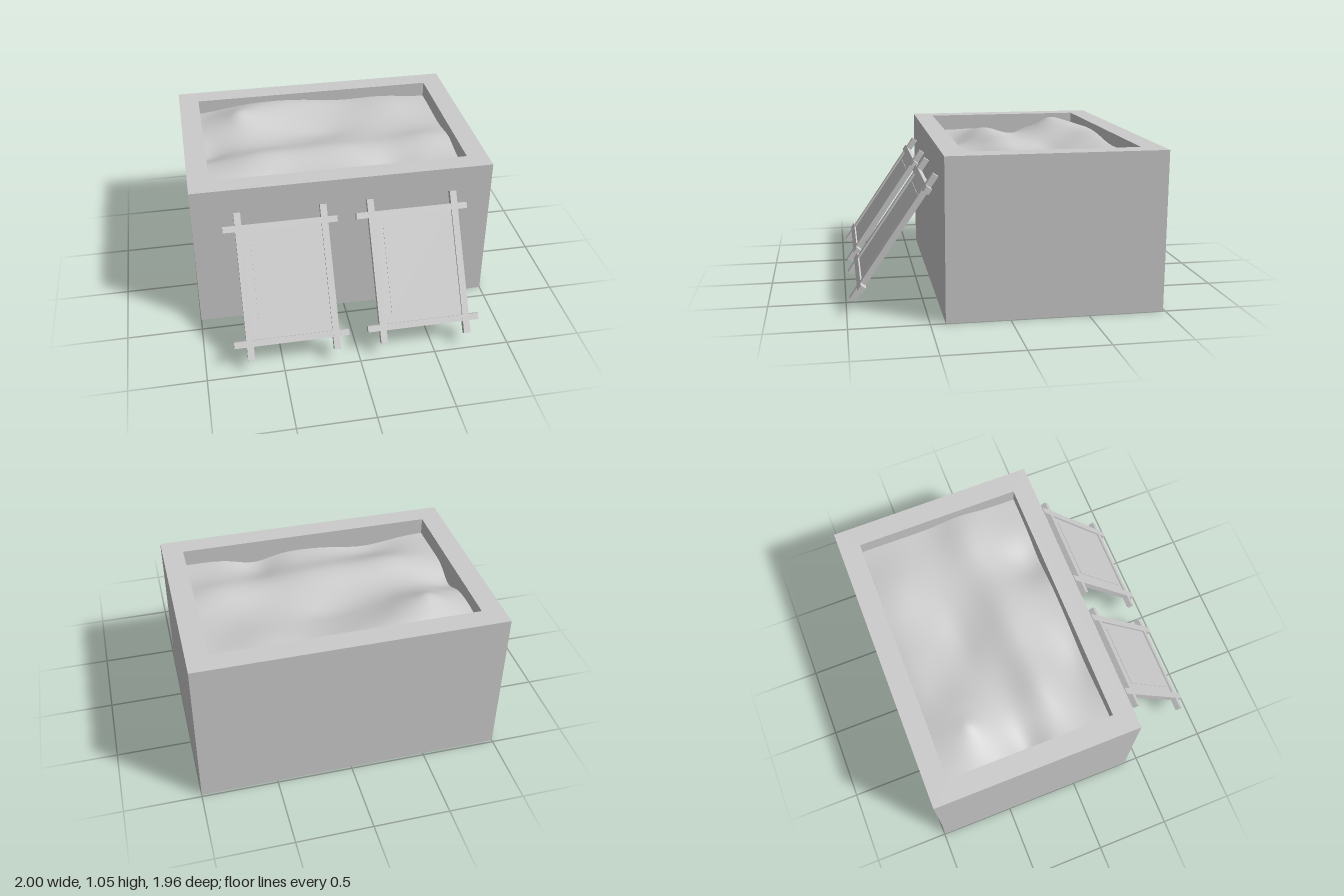
import * as THREE from 'three';

const grey = new THREE.MeshStandardMaterial({ color: 0xcccccc });

function add(parent, name, geometry, x = 0, y = 0, z = 0) {
  const mesh = new THREE.Mesh(geometry, grey);
  mesh.name = name;
  mesh.position.set(x, y, z);
  parent.add(mesh);
  return mesh;
}

// Rectangle in the XZ plan; the shape's y becomes -z once laid flat
function rectangle(path, x, z0, z1) {
  path.moveTo(-x, -z1);
  path.lineTo(x, -z1);
  path.lineTo(x, -z0);
  path.lineTo(-x, -z0);
  path.closePath();
  return path;
}

// Mounds and hollows of the fill: x, z, radius x, radius z, height
const mounds = [
  [-0.55, -0.62, 0.26, 0.19, 0.10],
  [-0.2, -0.82, 0.4, 0.17, 0.06],
  [0.0, -0.1, 0.38, 0.16, 0.06],
  [-0.5, -0.08, 0.25, 0.14, 0.05],
  [0.5, -0.72, 0.25, 0.22, 0.04],
  [0.7, -0.15, 0.25, 0.16, 0.05],
  [-0.86, -0.3, 0.18, 0.12, -0.06],
  [0.38, 0.2, 0.16, 0.18, -0.06],
  [-0.42, 0.22, 0.25, 0.14, -0.05],
  [0.0, -0.45, 0.22, 0.12, -0.03],
  [-0.59, -0.6, 0.07, 0.07, 0.018],
];

function fillHeight(x, z) {
  let y = 0.925;
  for (const [cx, cz, rx, rz, h] of mounds) {
    y += h * Math.exp(-(((x - cx) / rx) ** 2) - ((z - cz) / rz) ** 2);
  }
  return y;
}

// Leaning frame: two uprights, two crossbars and a recessed raised panel
function createFrame(name, x) {
  const frame = new THREE.Group();
  frame.name = name;
  const shift = 0.008;
  for (const s of [-1, 1]) {
    add(frame, 'upright', new THREE.BoxGeometry(0.044, 0.945, 0.04), shift + s * 0.28);
    add(frame, 'crossbar', new THREE.BoxGeometry(0.746, 0.041, 0.039), 0, s * 0.37);
  }
  add(frame, 'backPanel', new THREE.BoxGeometry(0.54, 0.72, 0.014), shift);
  add(frame, 'innerPanel', new THREE.BoxGeometry(0.422, 0.594, 0.022), shift, 0.001);
  frame.position.set(x, 0.488, 0.695);
  frame.rotation.x = -0.6;
  return frame;
}

export function createModel() {
  const model = new THREE.Group();
  model.name = 'filledBoxWithFrames';

  // Thick-walled box
  const plan = rectangle(new THREE.Shape(), 1, -0.985, 0.405);
  plan.holes.push(rectangle(new THREE.Path(), 0.86, -0.845, 0.27));
  const walls = new THREE.ExtrudeGeometry(plan, { depth: 1.038, bevelEnabled: false });
  walls.rotateX(-Math.PI / 2);
  add(model, 'boxWalls', walls);
  add(model, 'boxFloor', new THREE.BoxGeometry(1.72, 0.1, 1.115), 0, 0.05, -0.2875);

  // Loose fill with a smooth, uneven surface
  const fill = new THREE.PlaneGeometry(1.72, 1.115, 80, 52);
  fill.rotateX(-Math.PI / 2);
  fill.translate(0, 0, -0.2875);
  const p = fill.attributes.position;
  for (let i = 0; i < p.count; i++) p.setY(i, fillHeight(p.getX(i), p.getZ(i)));
  fill.computeVertexNormals();
  add(model, 'looseFill', fill);

  // Pair of frames leaning on the front wall
  model.add(createFrame('leftFrame', 0.435), createFrame('rightFrame', -0.436));
  return model;
}
